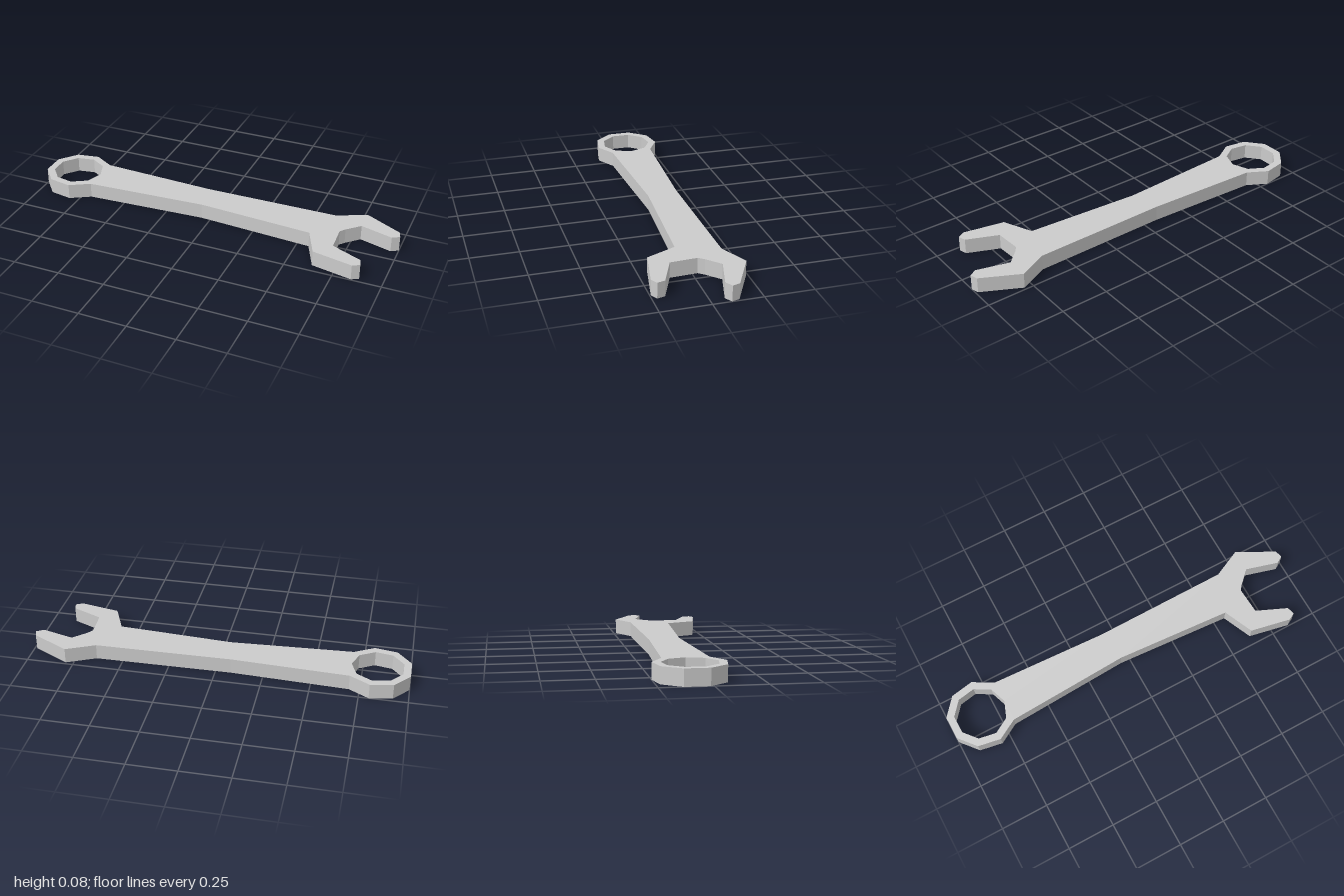
import * as THREE from 'three';

const THICKNESS = 0.082;
const SIDES = 9;

// Points of the nine-sided ring end, from corner `first` to corner `last`
function ringPoints(radius, first, last) {
  const points = [];
  for (let i = first; i <= last; i++) {
    const a = (i / SIDES) * Math.PI * 2;
    points.push(new THREE.Vector2(-0.833 + radius * Math.cos(a), 0.0755 + radius * Math.sin(a)));
  }
  return points;
}

export function createModel() {
  const group = new THREE.Group();
  group.name = 'wrench';

  // Lower handle edge, open jaw, upper handle edge (x, -z)
  const handleAndJaw = [
    [-0.05, -0.005], [0.563, -0.046],
    // short prong
    [0.632, -0.202], [0.845, -0.245], [0.882, -0.225], [0.871, -0.184], [0.71, -0.114],
    // throat
    [0.702, 0.026], [0.725, 0.055],
    // long prong
    [0.792, 0.119], [0.962, 0.071], [1, 0.094], [0.988, 0.133], [0.792, 0.237],
    [0.642, 0.166], [-0.08, 0.16],
  ].map(([x, y]) => new THREE.Vector2(x, y));

  // Ring end wraps round between the two handle edges
  const outline = new THREE.Shape([...ringPoints(0.1775, 1, SIDES - 1), ...handleAndJaw]);
  outline.holes.push(new THREE.Path(ringPoints(0.1366, 0, SIDES - 1)));

  // Flat plate with sharp edges, laid on the ground
  const geometry = new THREE.ExtrudeGeometry(outline, { depth: THICKNESS, bevelEnabled: false });
  geometry.rotateX(-Math.PI / 2);

  const body = new THREE.Mesh(
    geometry,
    new THREE.MeshStandardMaterial({ color: 0xcccccc, flatShading: true })
  );
  body.name = 'wrenchBody';
  group.add(body);
  return group;
}
